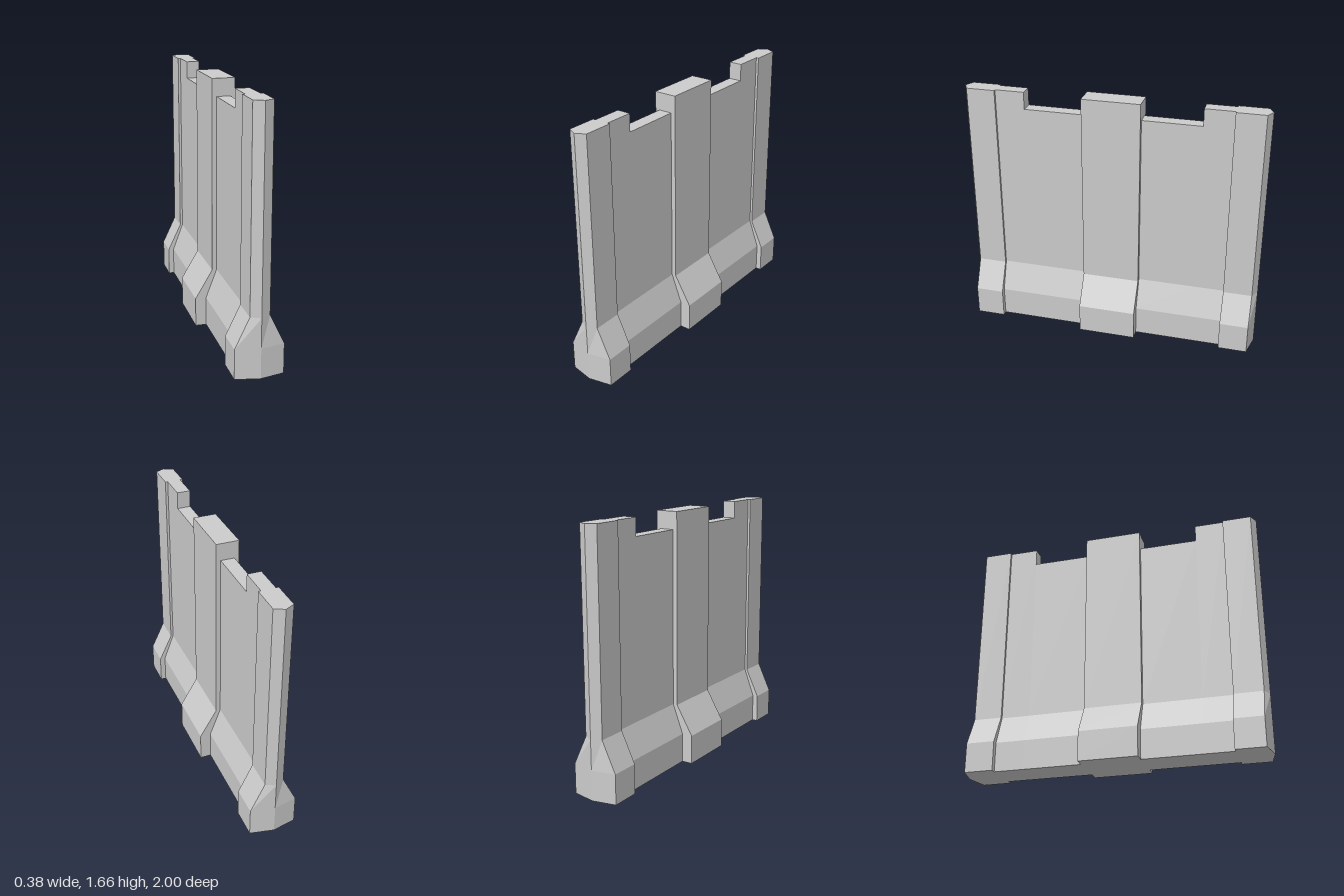
import * as THREE from 'three';

const BASE_TOP = 0.195, SLOPE_TOP = 0.39, WALL_TOP = 1.665, NOTCH_TOP = 1.55;

// Wall segment from z0 to z1: straight footing, sloped shoulder, thin upright.
// tip > 0 gives the z1 end a shallow vertical point.
function segment(name, footHalf, wallHalf, z0, z1, top, tip = 0) {
  const levels = [[0, footHalf], [BASE_TOP, footHalf], [SLOPE_TOP, wallHalf], [top, wallHalf]];
  const rings = levels.map(([y, w]) => {
    const ring = [[-w, y, z1]];
    if (tip) ring.push([0, y, z1 + tip]);
    ring.push([w, y, z1], [w, y, z0], [-w, y, z0]);
    return ring;
  });
  const n = rings[0].length, pos = [];
  const tri = (a, b, c) => pos.push(...a, ...b, ...c);
  // sides
  for (let l = 0; l < rings.length - 1; l++) {
    for (let i = 0; i < n; i++) {
      const j = (i + 1) % n;
      const a = rings[l][i], b = rings[l][j], c = rings[l + 1][j], d = rings[l + 1][i];
      tri(a, b, c);
      tri(a, c, d);
    }
  }
  // caps
  const bottom = rings[0], cap = rings[rings.length - 1];
  for (let i = 1; i < n - 1; i++) {
    tri(cap[0], cap[i], cap[i + 1]);
    tri(bottom[0], bottom[i + 1], bottom[i]);
  }
  const geo = new THREE.BufferGeometry();
  geo.setAttribute('position', new THREE.Float32BufferAttribute(pos, 3));
  geo.computeVertexNormals();
  const mesh = new THREE.Mesh(geo, new THREE.MeshStandardMaterial({ color: 0xcccccc, flatShading: true }));
  mesh.name = name;
  return mesh;
}

export function createModel() {
  const model = new THREE.Group();
  model.name = 'barrierWall';

  // thick middle pillar
  model.add(segment('centerPillar', 0.19, 0.075, -0.193, 0.193, WALL_TOP));

  // two identical halves: notched panel, raised panel, pointed end pillar
  for (const [name, turn] of [['frontHalf', 0], ['backHalf', Math.PI]]) {
    const half = new THREE.Group();
    half.name = name;
    half.add(
      segment('notchedPanel', 0.118, 0.045, 0.193, 0.583, NOTCH_TOP),
      segment('raisedPanel', 0.118, 0.045, 0.583, 0.777, WALL_TOP),
      segment('endPillar', 0.155, 0.062, 0.777, 0.968, WALL_TOP, 0.032)
    );
    half.rotation.y = turn;
    model.add(half);
  }
  return model;
}
